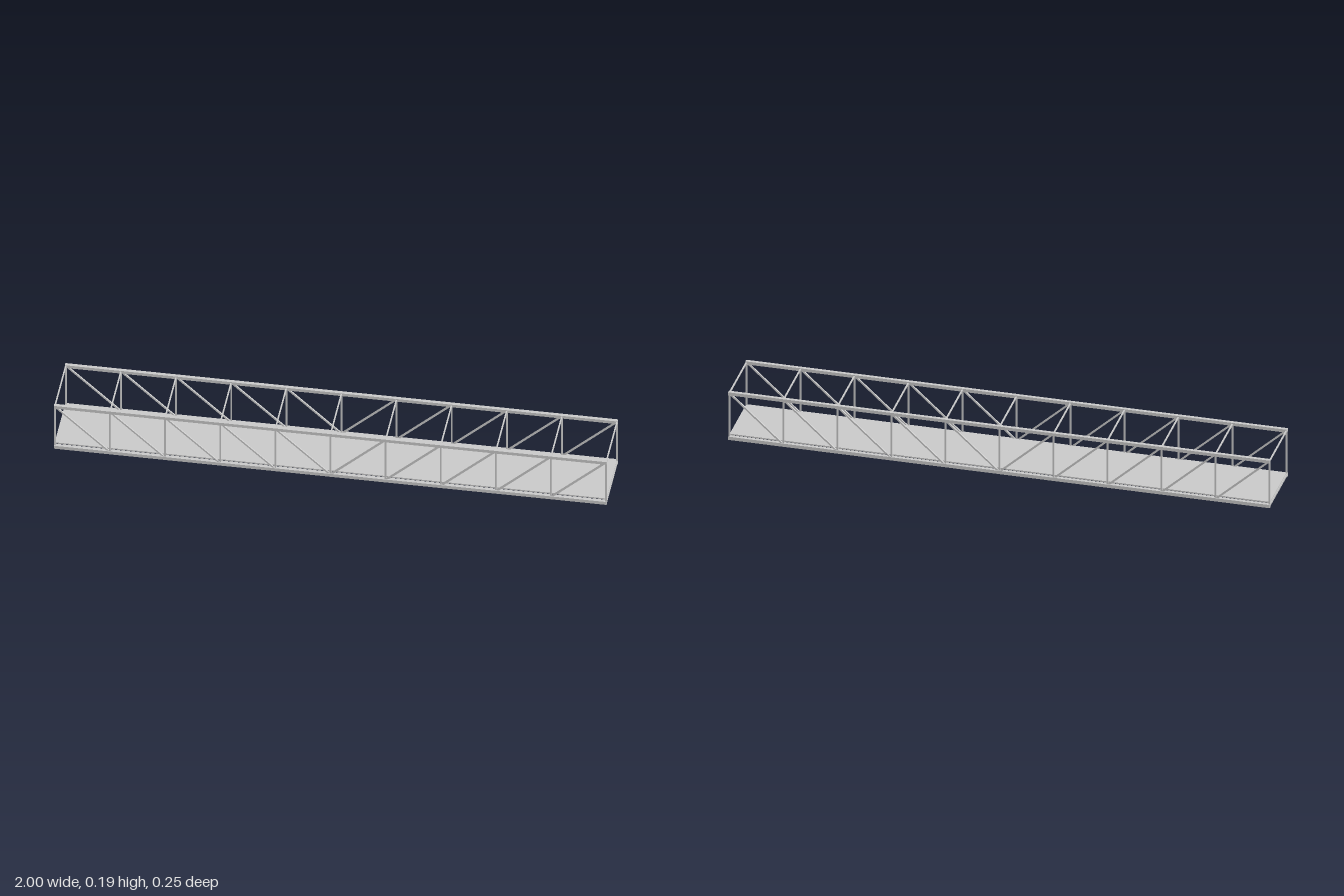
import * as THREE from 'three';

export function createModel() {
  const group = new THREE.Group();
  const material = new THREE.MeshStandardMaterial({ color: 0xcccccc });
  const half = 0.997, panels = 10, sideZ = 0.12, lowY = 0.0065, highY = 0.187;

  const box = (name, w, h, d, x, y, z) => {
    const mesh = new THREE.Mesh(new THREE.BoxGeometry(w, h, d), material);
    mesh.name = name;
    mesh.position.set(x, y, z);
    group.add(mesh);
    return mesh;
  };

  // Four long chords
  for (const z of [-sideZ, sideZ]) {
    box('bottomChord', 2, 0.013, 0.013, 0, lowY, z);
    box('topChord', 2, 0.012, 0.013, 0, highY, z);
  }

  // Walkway deck
  box('deck', 2 * half, 0.005, 0.225, 0, 0.0155, 0);

  // Frames: posts, floor beams and top struts at every panel point
  const step = (2 * half) / panels;
  for (let i = 0; i <= panels; i++) {
    const x = -half + i * step;
    for (const z of [-sideZ, sideZ]) {
      box('post', 0.006, highY - lowY, 0.006, x, (highY + lowY) / 2, z);
    }
    box('floorBeam', 0.006, 0.009, 2 * sideZ, x, 0.0085, 0);
    box('topStrut', 0.005, 0.005, 2 * sideZ, x, highY, 0);
  }

  // Side diagonals, falling toward the middle from both ends
  const rise = highY - lowY;
  for (let i = 0; i < panels; i++) {
    const x = -half + (i + 0.5) * step;
    for (const z of [-sideZ, sideZ]) {
      const brace = box('diagonal', Math.hypot(step, rise), 0.006, 0.006, x, (highY + lowY) / 2, z);
      brace.rotation.z = Math.sign(x) * Math.atan2(rise, step);
    }
  }
  return group;
}
